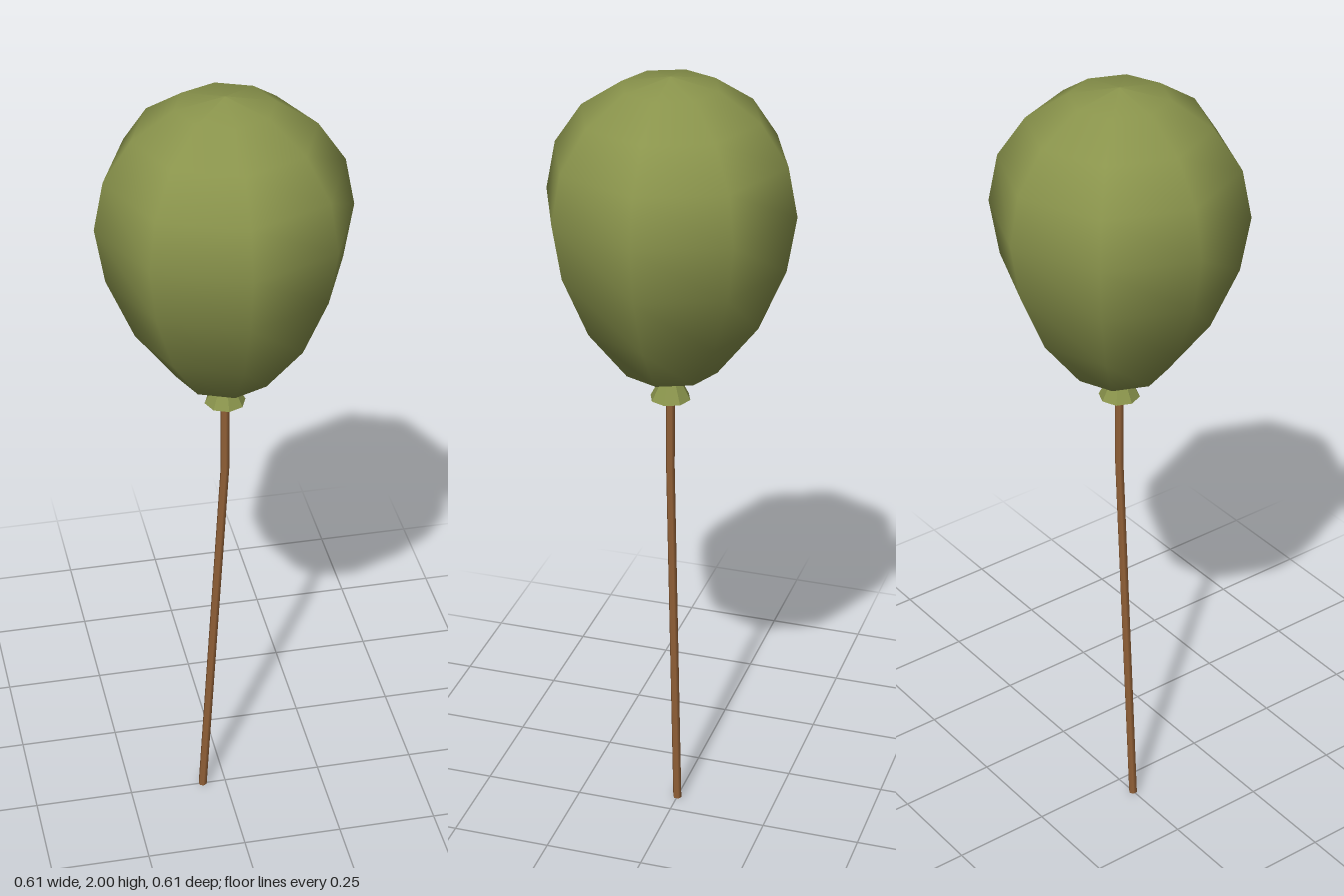
import * as THREE from 'three';

export function createModel() {
  const group = new THREE.Group();
  const green = new THREE.MeshStandardMaterial({ color: 0x8a944c });
  green.name = 'olive green';
  const knotGreen = green.clone();
  knotGreen.name = 'olive green knot';
  knotGreen.flatShading = true;
  knotGreen.side = THREE.DoubleSide;
  const brown = new THREE.MeshStandardMaterial({ color: 0x946238 });
  brown.name = 'string brown';

  const add = (name, geometry, material) => {
    const mesh = new THREE.Mesh(geometry, material);
    mesh.name = name;
    group.add(mesh);
  };

  // Balloon: eight-sided egg, smooth shaded; radii follow a sphere, heights taper downward
  const heights = [1.23, 1.272, 1.4, 1.555, 1.693, 1.812, 1.91, 1.977, 2];
  const profile = heights.map((y, i) =>
    new THREE.Vector2(i % 8 ? 0.305 * Math.sin((i * Math.PI) / 8) : 0, y));
  add('balloon', new THREE.LatheGeometry(profile, 8), green);

  // Knot: small open flare under the balloon
  const knot = new THREE.CylinderGeometry(0.024, 0.05, 0.05, 8, 1, true);
  knot.translate(0, 1.215, 0);
  add('knot', knot, knotGreen);

  // String: straight below the knot, then slanting to the model's right
  const string = new THREE.CylinderGeometry(0.011, 0.011, 1.25, 6, 5);
  string.translate(0, 0.625, 0);
  const p = string.attributes.position;
  for (let i = 0; i < p.count; i++) {
    p.setX(i, p.getX(i) + Math.min(0, p.getY(i) - 1) * 0.06);
  }
  add('string', string, brown);

  return group;
}
